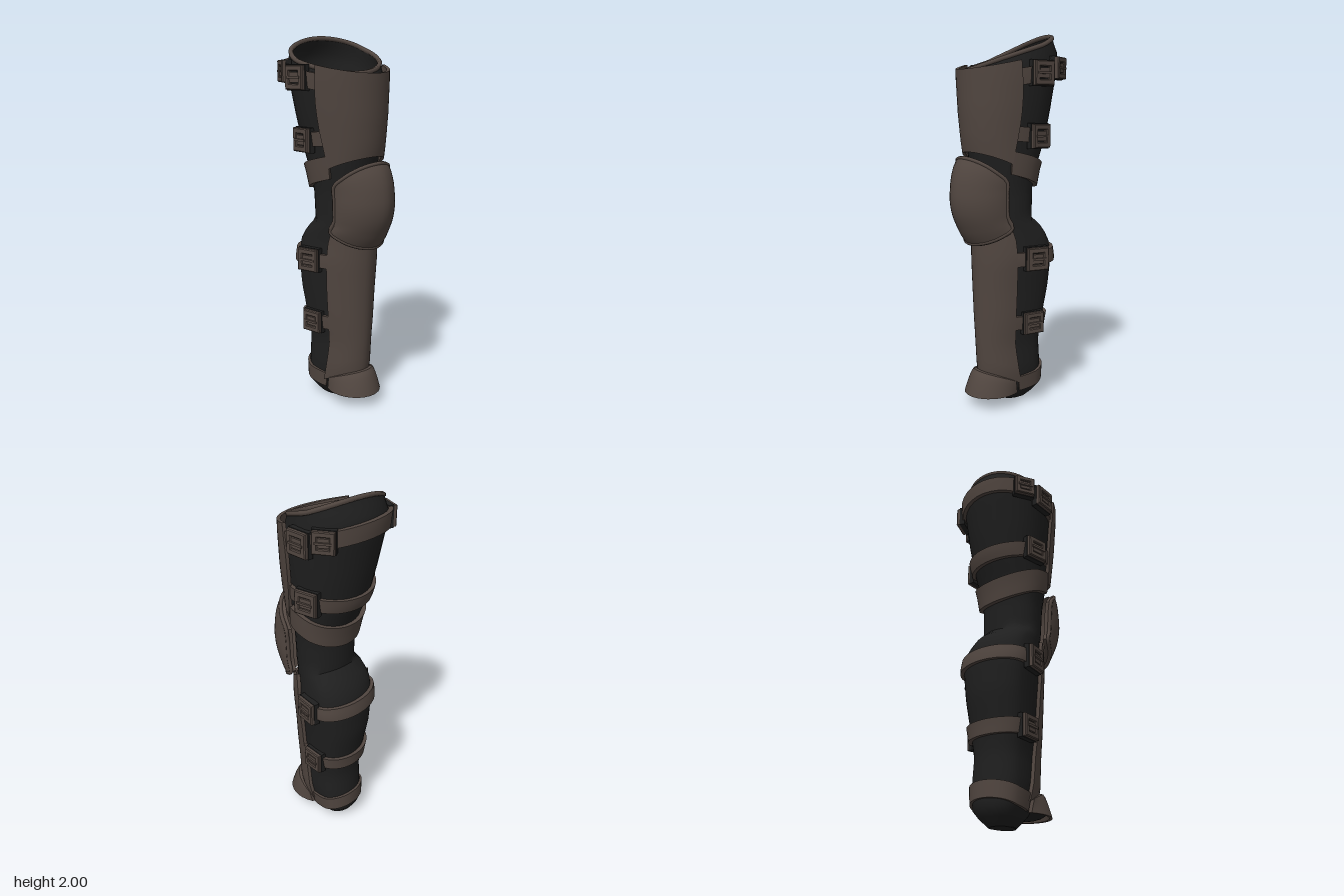
import * as THREE from 'three';
import { toCreasedNormals } from 'three/addons/utils/BufferGeometryUtils.js';

// Leg cross-sections: height, half width, front z, back z, centre x
const SECTIONS = [
  [0, 0.055, 0, -0.15, 0.005], [0.07, 0.125, 0.08, -0.215, 0.012], [0.2, 0.14, 0.12, -0.215, 0.015],
  [0.35, 0.138, 0.13, -0.205, 0.015], [0.48, 0.158, 0.135, -0.22, 0.015], [0.65, 0.178, 0.14, -0.25, 0.015],
  [0.82, 0.198, 0.145, -0.256, 0.018], [0.92, 0.192, 0.145, -0.238, 0.018], [1.0, 0.178, 0.145, -0.185, 0.015],
  [1.03, 0.165, 0.15, -0.14, 0.015], [1.2, 0.17, 0.16, -0.145, 0.012], [1.3, 0.185, 0.175, -0.165, 0.01],
  [1.45, 0.203, 0.2, -0.225, 0.008], [1.6, 0.225, 0.21, -0.257, 0.005], [1.8, 0.25, 0.213, -0.292, 0],
  [1.88, 0.253, 0.21, -0.3, 0], [2.0, 0.253, 0.2, -0.28, 0],
];

// Point on the leg at angle a (0 = front, positive towards +x), pushed out by off
function legPoint(a, y, off = 0) {
  let i = 1;
  while (i < SECTIONS.length - 1 && SECTIONS[i][0] < y) i++;
  const p = SECTIONS[i - 1], q = SECTIONS[i];
  const t = THREE.MathUtils.clamp((y - p[0]) / (q[0] - p[0]), 0, 1);
  const [, hw, zf, zb, cx] = p.map((n, k) => n + (q[k] - n) * t);
  // The calf is widest further back than the thigh
  const widest = 0.32 + 0.1 * THREE.MathUtils.smoothstep(y, 0.95, 1.05);
  const zm = zb + (zf - zb) * widest, c = Math.cos(a);
  return new THREE.Vector3(
    cx + (hw + off) * Math.sin(a), y, zm + ((c > 0 ? zf - zm : zm - zb) + off) * c);
}

// Solid curved plate following the leg between two angles and two height rules
function shellGeometry({ from, to, low, high, off, thick = 0.018, nu = 20, nv = 8, widen = () => 1 }) {
  const mid = (from + to) / 2, half = (to - from) / 2;
  const at = (u, v, inset) => {
    const s = u * 2 - 1, a0 = mid + half * s;
    const y = low(a0, s) + (high(a0, s) - low(a0, s)) * v;
    return legPoint(mid + half * s * widen(v), y, off(s, v) - inset);
  };
  const pos = [], index = [], ring = 2 * (nv + 1);
  for (let i = 0; i <= nu; i++) {
    for (let j = 0; j <= nv; j++) pos.push(...at(i / nu, j / nv, 0).toArray());
    for (let j = nv; j >= 0; j--) pos.push(...at(i / nu, j / nv, thick).toArray());
  }
  for (let i = 0; i < nu; i++) for (let j = 0; j < ring; j++) {
    const k = (j + 1) % ring, a = i * ring + j, b = a + ring, c = i * ring + k, d = c + ring;
    index.push(a, b, d, a, d, c);
  }
  // End walls
  for (let j = 0; j < nv; j++) {
    const a = j, b = j + 1, c = ring - 2 - j, d = ring - 1 - j, e = nu * ring;
    index.push(a, b, c, a, c, d, e + a, e + c, e + b, e + a, e + d, e + c);
  }
  const g = new THREE.BufferGeometry();
  g.setAttribute('position', new THREE.Float32BufferAttribute(pos, 3));
  g.setIndex(index);
  return toCreasedNormals(g, 0.7);
}

export function createModel() {
  const model = new THREE.Group();
  const leather = new THREE.MeshStandardMaterial({ color: 0x514640 });
  leather.name = 'brown leather';
  const cloth = new THREE.MeshStandardMaterial({ color: 0x1f1f1f, side: THREE.DoubleSide });
  cloth.name = 'black cloth';

  const add = (name, geometry, material, parent = model) => {
    const mesh = new THREE.Mesh(geometry, material);
    mesh.name = name;
    parent.add(mesh);
    return mesh;
  };
  const loopTube = (points, radius) => new THREE.TubeGeometry(
    new THREE.CatmullRomCurve3(points, true), points.length * 3, radius, 6, true);

  // Cloth sleeve with a slanted open top, drawn in at front and back
  const topY = a => 1.905 - 0.085 * Math.cos(a) + 0.03 * Math.sin(a);
  const topInset = a => 0.03 - 0.018 * Math.sin(a) ** 2;
  add('sleeve', shellGeometry({
    from: -Math.PI, to: Math.PI, low: () => 0, high: topY, thick: 0.012, nu: 32, nv: 48,
    off: (s, v) => -topInset(s * Math.PI) * THREE.MathUtils.smoothstep(v, 0.95, 1),
  }), cloth);
  const sole = add('sole', new THREE.CylinderGeometry(1, 1, 0.01, 24), cloth);
  sole.scale.set(0.054, 1, 0.074);
  sole.position.set(0.005, 0.005, -0.077);

  // Rounded lining that closes the inside below the opening
  const lining = add('lining',
    new THREE.SphereGeometry(1, 24, 8, 0, Math.PI * 2, Math.PI / 2, Math.PI / 2), cloth);
  lining.scale.set(0.226, 0.2, 0.228);
  lining.position.set(0.002, 1.72, -0.042);

  // Leather binding around the opening
  const rim = [];
  for (let i = 0; i < 24; i++) {
    const a = i / 24 * Math.PI * 2;
    rim.push(legPoint(a, topY(a) - 0.006, -topInset(a) - 0.004));
  }
  add('topRim', loopTube(rim, 0.013), leather);

  // Thigh plate
  add('thighPlate', shellGeometry({
    from: -1.1, to: 1.1, low: (a, s) => 1.39 - 0.06 * s * s, high: (a, s) => 1.81 + 0.04 * s * s,
    off: () => 0.028, widen: v => 1 + 0.08 * Math.sin(Math.PI * v),
  }), leather);

  // Domed knee cap with a central keel and a raised border
  const kneeHalf = 0.97;
  const kneeLow = (a, s) => 0.91 + 0.09 * s * s, kneeHigh = (a, s) => 1.36 - 0.12 * s * s;
  const kneeOff = (s, v) => 0.053 +
    (1 - Math.abs(s) ** 1.35) * (0.025 + 0.085 * Math.max(0, Math.sin(Math.PI * v)) ** 0.8);
  add('kneeCap', shellGeometry({
    from: -kneeHalf, to: kneeHalf, low: kneeLow, high: kneeHigh, off: kneeOff,
    thick: 0.035, nu: 24, nv: 14,
  }), leather);
  const border = [];
  const edge = (s, v) => border.push(legPoint(s * kneeHalf,
    kneeLow(0, s) * (1 - v) + kneeHigh(0, s) * v, kneeOff(s, v) - 0.006));
  for (let i = 0; i <= 8; i++) edge(i / 4 - 1, 0);
  for (let i = 1; i < 4; i++) edge(1, i / 4);
  for (let i = 8; i >= 0; i--) edge(i / 4 - 1, 1);
  for (let i = 3; i > 0; i--) edge(-1, i / 4);
  add('kneeBorder', loopTube(border, 0.011), leather);

  // Shin plate, wrapping further round towards the ankle
  add('shinPlate', shellGeometry({
    from: -0.96, to: 0.96, low: (a, s) => 0.19 - 0.07 * s * s, high: (a, s) => 0.91 + 0.07 * s * s,
    off: s => 0.02 + 0.018 * (1 - Math.abs(s)), nv: 18,
    widen: v => 1 + 0.22 * (1 - v) ** 2,
  }), leather);

  // Flared flap over the instep, with a cloth toe beneath
  add('footFlap', shellGeometry({
    from: -1.03, to: 1.03, low: () => 0.07, high: (a, s) => 0.2 - 0.06 * s * s,
    off: (s, v) => 0.025 + (1 - s * s) * (0.03 + 0.095 * (1 - v) ** 0.8),
  }), leather);
  const toe = add('toe', new THREE.SphereGeometry(1, 20, 10), cloth);
  toe.scale.set(0.115, 0.042, 0.13);
  toe.position.set(0.013, 0.1, 0.075);

  // Straps around the back: start angle, front height, back height, width
  const strap = (name, start, yFront, yBack, width, thick = 0.02) => {
    const y = a => yFront + (yBack - yFront) * (1 - Math.cos(a)) / 2;
    add(name, shellGeometry({
      from: start, to: Math.PI * 2 - start, low: a => y(a) - width / 2, high: a => y(a) + width / 2,
      off: () => thick, thick: thick + 0.004, nu: 24, nv: 3,
    }), leather);
    return y;
  };
  const upperThigh = strap('upperThighStrap', 1.08, 1.735, 1.85, 0.085);
  const lowerThigh = strap('lowerThighStrap', 1.08, 1.5, 1.45, 0.075);
  strap('thighCuff', 1.08, 1.37, 1.25, 0.12, 0.024);
  const upperCalf = strap('upperCalfStrap', 0.94, 0.82, 0.845, 0.075);
  const lowerCalf = strap('lowerCalfStrap', 1.0, 0.475, 0.465, 0.075);
  strap('ankleStrap', 1.1, 0.1, 0.165, 0.085, 0.014);

  // Square buckle: cloth pad, frame with a hole, tongue and pin
  const frame = new THREE.Shape();
  const square = (path, r) => {
    path.moveTo(-r, -r).lineTo(r, -r).lineTo(r, r).lineTo(-r, r).closePath();
    return path;
  };
  square(frame, 0.056);
  frame.holes.push(square(new THREE.Path(), 0.036));
  const frameGeo = new THREE.ExtrudeGeometry(frame, {
    depth: 0.02, bevelEnabled: true, bevelSize: 0.005, bevelThickness: 0.005, bevelSegments: 1 });
  const padGeo = new THREE.BoxGeometry(0.13, 0.13, 0.03);
  const tongueGeo = new THREE.BoxGeometry(0.1, 0.05, 0.04);
  const pinGeo = new THREE.BoxGeometry(0.09, 0.012, 0.012);

  const buckles = (name, angle, height, scale = 1) => {
    for (const side of [-1, 1]) {
      const a = side * angle, buckle = new THREE.Group();
      buckle.name = (side > 0 ? 'left' : 'right') + name;
      buckle.position.copy(legPoint(a, height(a), 0.02));
      buckle.rotation.y = a;
      buckle.scale.set(scale, scale, 1);
      add('pad', padGeo, cloth, buckle).position.z = -0.011;
      add('frame', frameGeo, leather, buckle);
      add('tongue', tongueGeo, leather, buckle);
      add('pin', pinGeo, leather, buckle).position.z = 0.024;
      model.add(buckle);
    }
  };
  buckles('UpperThighBuckle', 1.5, upperThigh);
  buckles('UpperThighRearBuckle', 2.03, upperThigh, 0.9);
  buckles('LowerThighBuckle', 1.67, lowerThigh);
  buckles('UpperCalfBuckle', 1.34, upperCalf);
  buckles('LowerCalfBuckle', 1.43, lowerCalf, 0.95);

  return model;
}
